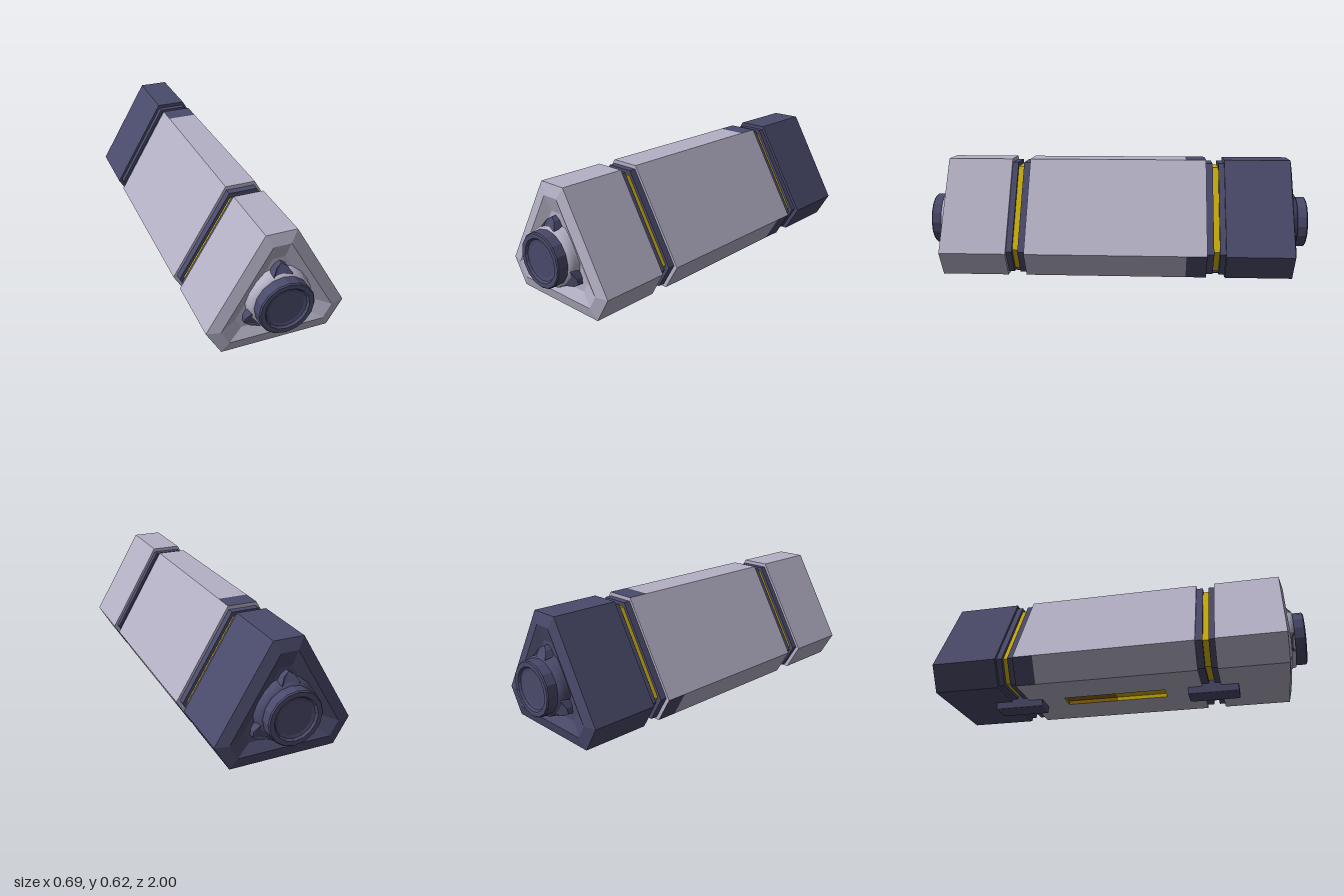
import * as THREE from 'three';
import { RoundedBoxGeometry } from 'three/addons/geometries/RoundedBoxGeometry.js';

const CY = 0.28; // height of the long axis
const outer = [[0.075, 0.62], [-0.075, 0.62], [-0.343, 0.165], [-0.268, 0.037], [0.268, 0.037], [0.343, 0.165]];
const inner = [[0.042, 0.563], [-0.042, 0.563], [-0.277, 0.165], [-0.235, 0.093], [0.235, 0.093], [0.277, 0.165]];
const scaled = (pts, s) => pts.map(([x, y]) => [x * s, CY + (y - CY) * s]);

// Flat-shaded loft through [points, z] sections; sideGroup(i) gives a material index, or -1 to leave a side open
function loft(sections, sideGroup = () => 0) {
  const pos = [], geo = new THREE.BufferGeometry();
  const n = sections[0][0].length;
  const tri = (...p) => p.forEach(v => pos.push(...v));
  const at = (s, i) => [...sections[s][0][i % n], sections[s][1]];
  for (let i = 0; i < n; i++) {
    const g = sideGroup(i);
    if (g < 0) continue;
    const start = pos.length / 3;
    for (let s = 0; s < sections.length - 1; s++) {
      tri(at(s, i), at(s, i + 1), at(s + 1, i + 1));
      tri(at(s, i), at(s + 1, i + 1), at(s + 1, i));
    }
    geo.addGroup(start, pos.length / 3 - start, g);
  }
  const start = pos.length / 3, last = sections.length - 1;
  for (let i = 1; i < n - 1; i++) {
    tri(at(0, 0), at(0, i + 1), at(0, i));
    tri(at(last, 0), at(last, i), at(last, i + 1));
  }
  geo.addGroup(start, pos.length / 3 - start, 0);
  geo.setAttribute('position', new THREE.Float32BufferAttribute(pos, 3));
  geo.computeVertexNormals();
  return geo;
}

export function createModel() {
  const model = new THREE.Group();
  model.name = 'triangularCanister';
  const mat = (name, color) => {
    const m = new THREE.MeshStandardMaterial({ color });
    m.name = name;
    return m;
  };
  const shell = mat('paleLilacGrey', 0xb5b1c6);
  const dark = mat('darkSlateBlue', 0x4a4a6b);
  const yellow = mat('yellow', 0xc9ad08);
  const amber = mat('amberBrown', 0x8c650c);
  const add = (parent, name, geo, material) => {
    const m = new THREE.Mesh(geo, material);
    m.name = name;
    parent.add(m);
    return m;
  };

  // Middle body, with dark corner strips next to the rear joint
  add(model, 'middleBody', loft([[outer, -0.36], [outer, 0.465]], i => (i === 3 ? -1 : 0)), shell);
  add(model, 'middleBodyRear', loft([[outer, -0.465], [outer, -0.36]], i => (i % 2 ? 0 : 1)), [shell, dark]);

  // Underside with a rectangular opening
  const rect = (target, x, z0, z1) => target.moveTo(-x, z0).lineTo(x, z0).lineTo(x, z1).lineTo(-x, z1).closePath();
  const under = rect(new THREE.Shape(), 0.268, -0.36, 0.465);
  under.holes.push(rect(new THREE.Path(), 0.05, -0.27, 0.27));
  add(model, 'underside', new THREE.ShapeGeometry(under).rotateX(Math.PI / 2).translate(0, 0.037, 0), shell);

  // Sunken indicator, one colour for each half
  for (const [s, material, name] of [[1, yellow, 'indicatorFront'], [-1, amber, 'indicatorRear']]) {
    const half = new THREE.Group();
    half.name = name;
    model.add(half);
    add(half, 'indicatorFloor', new THREE.BoxGeometry(0.108, 0.006, 0.27).translate(0, 0.06, s * 0.135), material);
    for (const x of [-0.052, 0.052])
      add(half, 'indicatorSide', new THREE.BoxGeometry(0.004, 0.022, 0.27).translate(x, 0.0485, s * 0.135), material);
    add(half, 'indicatorEnd', new THREE.BoxGeometry(0.108, 0.022, 0.004).translate(0, 0.0485, s * 0.272), material);
  }

  // Identical ends, the rear one turned round and all dark
  for (const [name, turn, skin] of [['frontEnd', 0, shell], ['rearEnd', Math.PI, dark]]) {
    const end = new THREE.Group();
    end.name = name;
    end.rotation.y = turn;
    model.add(end);

    // Joint: two dark bands around a yellow seal
    const band = scaled(outer, 0.945);
    add(end, 'jointBandInner', loft([[band, 0.46], [band, 0.5]]), dark);
    add(end, 'jointBandOuter', loft([[band, 0.53], [band, 0.565]]), dark);
    const seal = scaled(outer, 0.88);
    add(end, 'yellowSeal', loft([[seal, 0.495], [seal, 0.535]]), yellow);

    // End housing with bevelled rim and dished face
    add(end, 'endHousing', loft([
      [outer, 0.56], [outer, 0.903], [inner, 0.918], [scaled(inner, 0.72), 0.893],
    ]), skin);

    // Round cap on a collar
    const lathe = pts => new THREE.LatheGeometry(pts.map(p => new THREE.Vector2(...p)), 16)
      .rotateX(Math.PI / 2).translate(0, CY, 0);
    add(end, 'collar', lathe([[0.16, 0.88], [0.15, 0.915], [0.146, 0.945], [0.12, 0.945]]), skin);
    const cap = lathe([[0.135, 0.935], [0.135, 0.994], [0.13, 1], [0.108, 1], [0.1, 0.99], [0.085, 0.987], [0, 0.987]])
      .toNonIndexed();
    cap.computeVertexNormals();
    add(end, 'roundCap', cap, dark);

    // Three pointed lugs, sloping down towards their tips
    for (let k = 0; k < 3; k++) {
      const shape = new THREE.Shape([[-0.045, 0.12], [0.045, 0.12], [0.045, 0.143], [0.026, 0.175], [0, 0.191], [-0.026, 0.175], [-0.045, 0.143]]
        .map(p => new THREE.Vector2(...p)));
      const lug = new THREE.ExtrudeGeometry(shape, { depth: 0.06, bevelEnabled: false }).translate(0, 0, 0.882);
      const p = lug.attributes.position;
      for (let i = 0; i < p.count; i++)
        if (p.getZ(i) > 0.9) p.setZ(i, 0.942 - Math.max(0, p.getY(i) - 0.143) * 0.55);
      lug.computeVertexNormals();
      lug.rotateZ(k * Math.PI * 2 / 3).translate(0, CY, 0);
      add(end, 'lug', lug, dark);
    }

    // Foot below the joint
    add(end, 'foot', new RoundedBoxGeometry(0.118, 0.07, 0.26, 2, 0.006).translate(0, 0.035, 0.52), dark);
  }
  return model;
}
